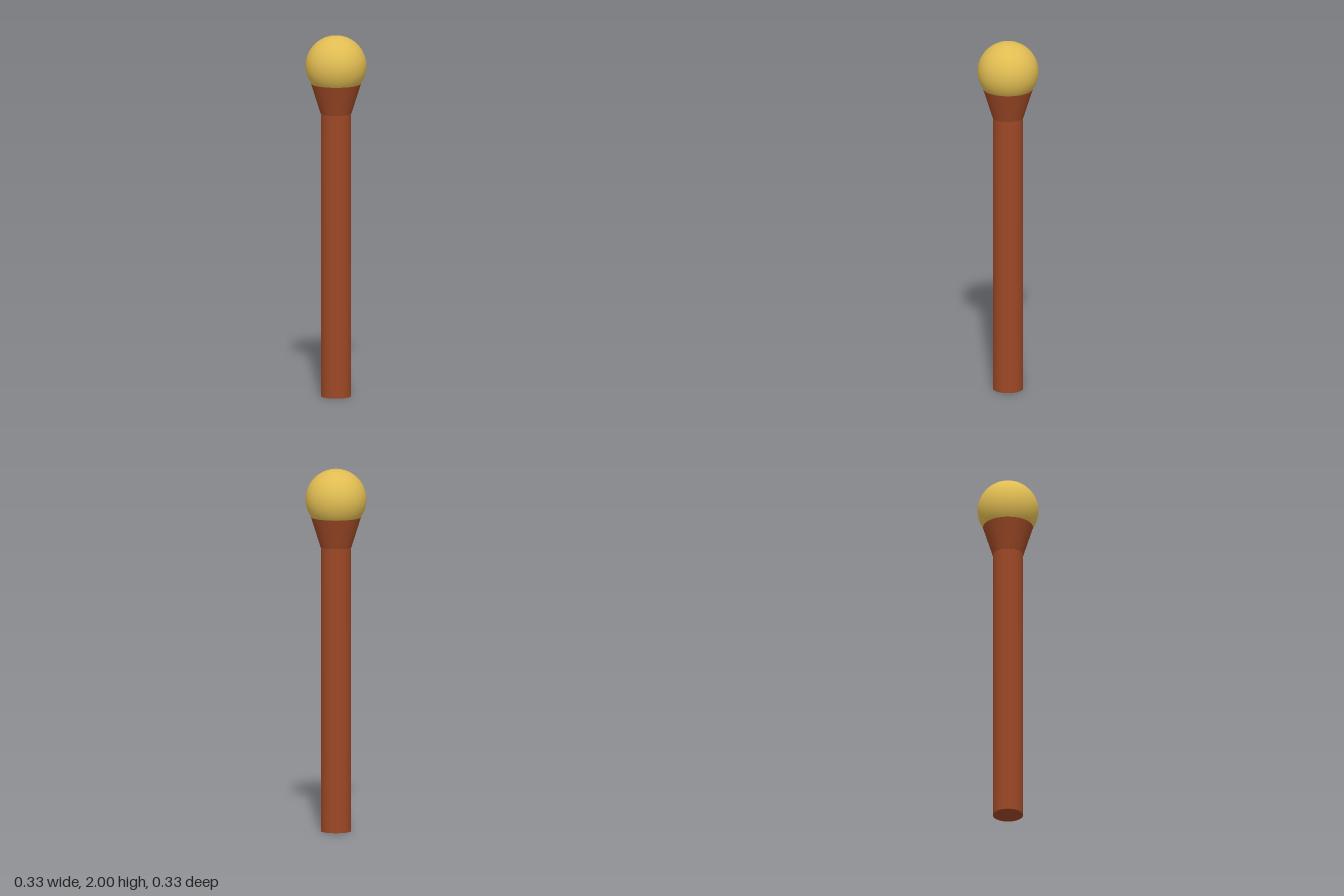
import * as THREE from 'three';

export function createModel() {
  const wood = new THREE.MeshStandardMaterial({ color: 0x9c4826 });
  wood.name = 'reddish brown';
  const gold = new THREE.MeshStandardMaterial({ color: 0xe0bc52 });
  gold.name = 'gold';

  const group = new THREE.Group();
  const add = (name, geometry, material, y) => {
    const mesh = new THREE.Mesh(geometry, material);
    mesh.name = name;
    mesh.position.y = y;
    group.add(mesh);
  };

  // Straight round handle
  const shaftHeight = 1.58;
  add('shaft', new THREE.CylinderGeometry(0.083, 0.083, shaftHeight, 32), wood, shaftHeight / 2);

  // Flared collar that cups the ball
  const collarBottom = 1.57, collarTop = 1.735;
  add('collar',
    new THREE.CylinderGeometry(0.137, 0.085, collarTop - collarBottom, 32),
    wood, (collarBottom + collarTop) / 2);

  // Ball on top
  const radius = 0.167;
  add('ball', new THREE.SphereGeometry(radius, 32, 24), gold, 2 - radius);

  return group;
}
